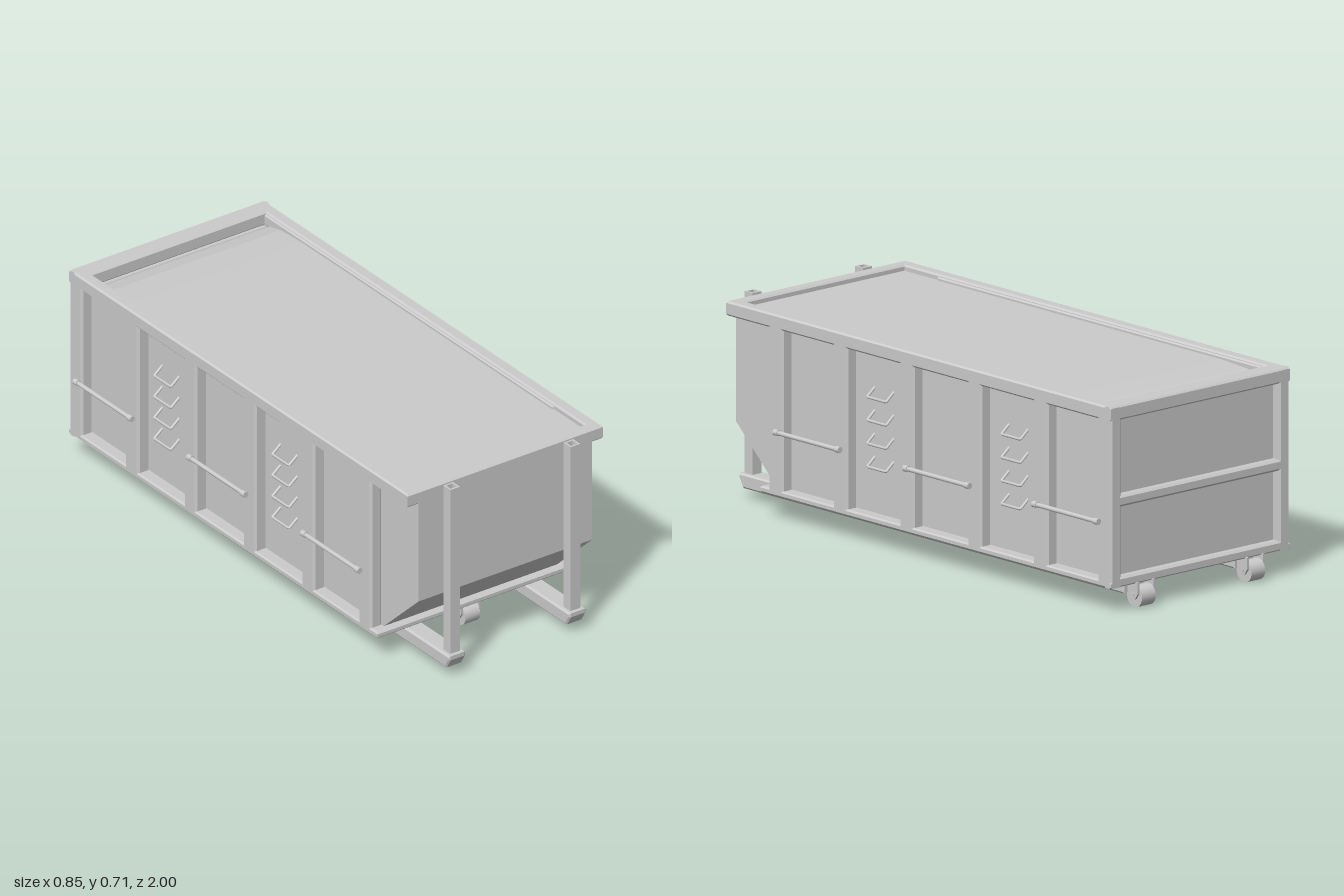
import * as THREE from 'three';

const material = new THREE.MeshStandardMaterial({ color: 0xcccccc });

function polygon(points) {
  return new THREE.Shape(points.map(([a, b]) => new THREE.Vector2(a, b)));
}

function rect(a0, b0, a1, b1) {
  return [[a0, b0], [a1, b0], [a1, b1], [a0, b1]];
}

// Rectangular plate with rectangular openings
function frameShape(outer, openings) {
  const shape = polygon(rect(...outer));
  for (const o of openings) shape.holes.push(polygon(rect(...o).reverse()));
  return shape;
}

// Extrusion centred on its own plane, total thickness = depth, outline kept
function extrude(shape, depth, bevel = 0) {
  const g = new THREE.ExtrudeGeometry(shape, {
    depth: depth - 2 * bevel, bevelEnabled: bevel > 0, bevelThickness: bevel,
    bevelSize: bevel, bevelOffset: -bevel, bevelSegments: 1, curveSegments: 8,
  });
  return g.translate(0, 0, -depth / 2 + bevel);
}

// Shape drawn in (z, y), extruded along x
const extrudeX = (shape, depth, bevel) => extrude(shape, depth, bevel).rotateY(-Math.PI / 2);
// Shape drawn in (x, z), extruded along y
const extrudeY = (shape, depth, bevel) => extrude(shape, depth, bevel).rotateX(Math.PI / 2);

export function createModel() {
  const model = new THREE.Group();
  model.name = 'rollOffContainer';
  const unit = new THREE.Group();
  unit.name = 'container';
  unit.position.x = -0.005;
  model.add(unit);

  const add = (name, geometry, x = 0, y = 0, z = 0, parent = unit) => {
    const mesh = new THREE.Mesh(geometry, material);
    mesh.name = name;
    mesh.position.set(x, y, z);
    parent.add(mesh);
    return mesh;
  };

  const W = 0.403;   // half width over the ribs
  const P = 0.358;   // half width at the panels
  const FRONT = 0.93, BACK = -0.98;

  // Closed body with sloped front bottom and cover dipping towards the back
  add('body', extrudeX(polygon([
    [-0.95, 0.095], [0.72, 0.095], [FRONT, 0.29], [FRONT, 0.69],
    [-0.7, 0.69], [-0.82, 0.683], [-0.88, 0.67], [-0.91, 0.655], [-0.95, 0.655],
  ]), 2 * P));

  // Floor plate
  add('floor', extrudeY(polygon(rect(-W, BACK, W, 0.76)), 0.022, 0.005), 0, 0.096, 0);

  // Top rim
  add('topRim', extrudeY(frameShape([-W, BACK, W, FRONT],
    [[-P, -0.91, P, 0.885]]), 0.05, 0.006), 0, 0.685, 0);

  // Ribbed side frames with five panel openings
  const panels = [[0.4, 0.65], [0.07, 0.33], [-0.265, 0], [-0.59, -0.335], [-0.91, -0.665]];
  const sideShape = frameShape([BACK, 0.085, 0.72, 0.705],
    panels.map(([a, b]) => [a, 0.105, b, 0.66]));
  for (const s of [1, -1]) {
    add(s > 0 ? 'leftSideFrame' : 'rightSideFrame', extrudeX(sideShape, 0.05, 0.008),
      s * (W - 0.025), 0, 0);
  }

  // Back frame with a middle rail
  add('backFrame', extrude(frameShape([-W, 0.085, W, 0.71],
    [[-0.37, 0.12, 0.37, 0.36], [-0.37, 0.4, 0.37, 0.665]]), 0.036, 0.008), 0, 0, BACK + 0.018);

  // Side bars with end knobs, and ladder rungs
  for (const s of [1, -1]) {
    const side = s > 0 ? 'left' : 'right';
    for (const z of [0.513, -0.13, -0.77]) {
      const bar = new THREE.Group();
      bar.name = side + 'SideBar';
      bar.position.set(s * 0.414, 0.31, z);
      unit.add(bar);
      add('bar', new THREE.CylinderGeometry(0.008, 0.008, 0.32, 12).rotateX(Math.PI / 2), 0, 0, 0, bar);
      for (const e of [1, -1]) {
        add('knob', new THREE.CylinderGeometry(0.011, 0.011, 0.02, 12).rotateX(Math.PI / 2),
          0, 0, e * 0.152, bar);
      }
    }
    for (const z of [0.196, -0.47]) {
      for (const y of [0.51, 0.43, 0.35, 0.27]) {
        const path = new THREE.CurvePath();
        const pts = [[P - 0.005, 0.03, -0.047], [P + 0.032, 0, -0.047],
          [P + 0.032, 0, 0.047], [P - 0.005, 0.03, 0.047]]
          .map(([a, b, c]) => new THREE.Vector3(s * a, b, c));
        for (let i = 0; i < 3; i++) path.add(new THREE.LineCurve3(pts[i], pts[i + 1]));
        add(side + 'LadderRung', new THREE.TubeGeometry(path, 36, 0.005, 8), 0, y, z);
      }
    }
  }

  // Skid rails with hollow uprights in front
  const skid = polygon([[-0.91, 0.035], [0.98, 0.035], [1, 0.07], [1, 0.085], [-0.91, 0.085]]);
  const tube = frameShape([-0.02, -0.02, 0.02, 0.02], [[-0.013, -0.013, 0.013, 0.013]]);
  for (const s of [1, -1]) {
    add('skidRail', extrudeX(skid, 0.07, 0.006), s * 0.248, 0, 0);
    add('frontUpright', extrudeY(tube, 0.63), s * 0.248, 0.395, 0.966);
  }

  // Rollers between bracket plates
  const bracket = polygon([[-0.025, 0.09], [-0.025, 0.05], [-0.012, 0.03],
    [0.012, 0.03], [0.025, 0.05], [0.025, 0.09]]);
  for (const [name, x, z] of [['frontRoller', -0.004, 0.715],
    ['backRoller', 0.25, -0.963], ['backRoller', -0.242, -0.963]]) {
    const roller = new THREE.Group();
    roller.name = name;
    roller.position.set(x, 0, z);
    unit.add(roller);
    add('wheel', new THREE.CylinderGeometry(0.037, 0.037, 0.062, 24).rotateZ(Math.PI / 2),
      0, 0.037, 0, roller);
    add('axle', new THREE.CylinderGeometry(0.008, 0.008, 0.084, 12).rotateZ(Math.PI / 2),
      0, 0.045, 0, roller);
    for (const s of [1, -1]) add('bracket', extrudeX(bracket, 0.008), s * 0.036, 0, 0, roller);
  }

  return model;
}
